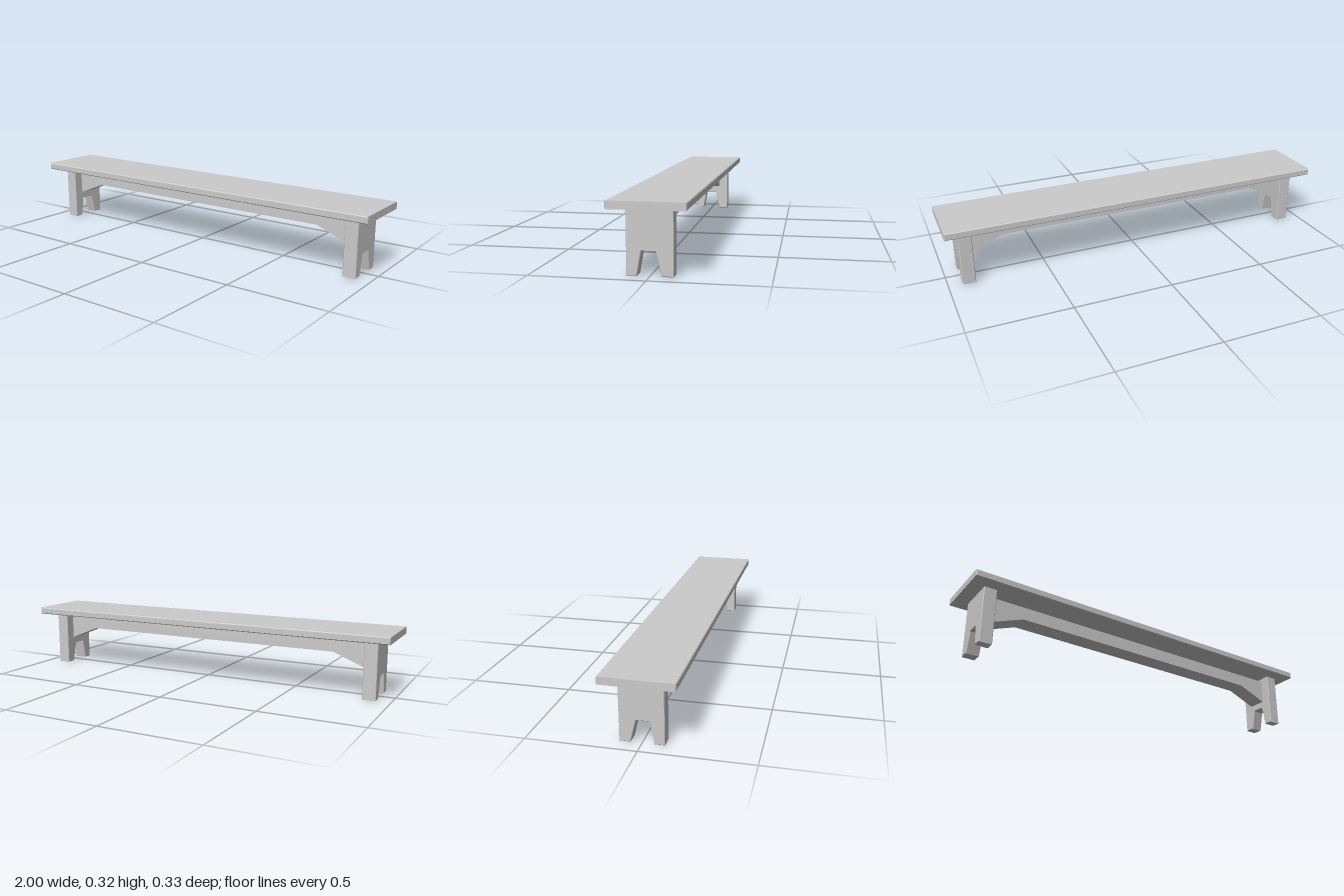
import * as THREE from 'three';

const material = new THREE.MeshStandardMaterial({ color: 0xcccccc, flatShading: true });

// Board cut from an outline, centred in thickness, with a small chamfer on its edges
function board(name, outline, thickness, bevel) {
  const shape = new THREE.Shape(outline.map(([x, y]) => new THREE.Vector2(x, y)));
  const geometry = new THREE.ExtrudeGeometry(shape, {
    depth: thickness - 2 * bevel,
    bevelEnabled: bevel > 0,
    bevelSize: bevel,
    bevelThickness: bevel,
    bevelOffset: -bevel,
    bevelSegments: 1,
  });
  geometry.translate(0, 0, bevel - thickness / 2);
  const mesh = new THREE.Mesh(geometry, material);
  mesh.name = name;
  return mesh;
}

export function createModel() {
  const bench = new THREE.Group();
  bench.name = 'bench';

  // Long seat plank
  bench.add(board('seat', [[-1, 0.285], [1, 0.285], [1, 0.32], [-1, 0.32]], 0.334, 0.004));

  // End legs with a tapered notch, outline in z and y
  const legOutline = [
    [-0.1, 0], [-0.05, 0], [-0.025, 0.104], [0.036, 0.104],
    [0.055, 0], [0.1, 0], [0.1, 0.287], [-0.1, 0.287],
  ];
  for (const [name, side] of [['leftLeg', 1], ['rightLeg', -1]]) {
    const leg = board(name, legOutline, 0.065, 0.003);
    leg.geometry.rotateY(-Math.PI / 2);
    leg.position.x = side * 0.898;
    bench.add(leg);
  }

  // Stretcher rail that deepens into a brace at each leg
  bench.add(board('stretcher', [
    [-0.868, 0.139], [-0.7, 0.205], [0.7, 0.205], [0.868, 0.139],
    [0.868, 0.27], [-0.868, 0.27],
  ], 0.096, 0));

  return bench;
}
